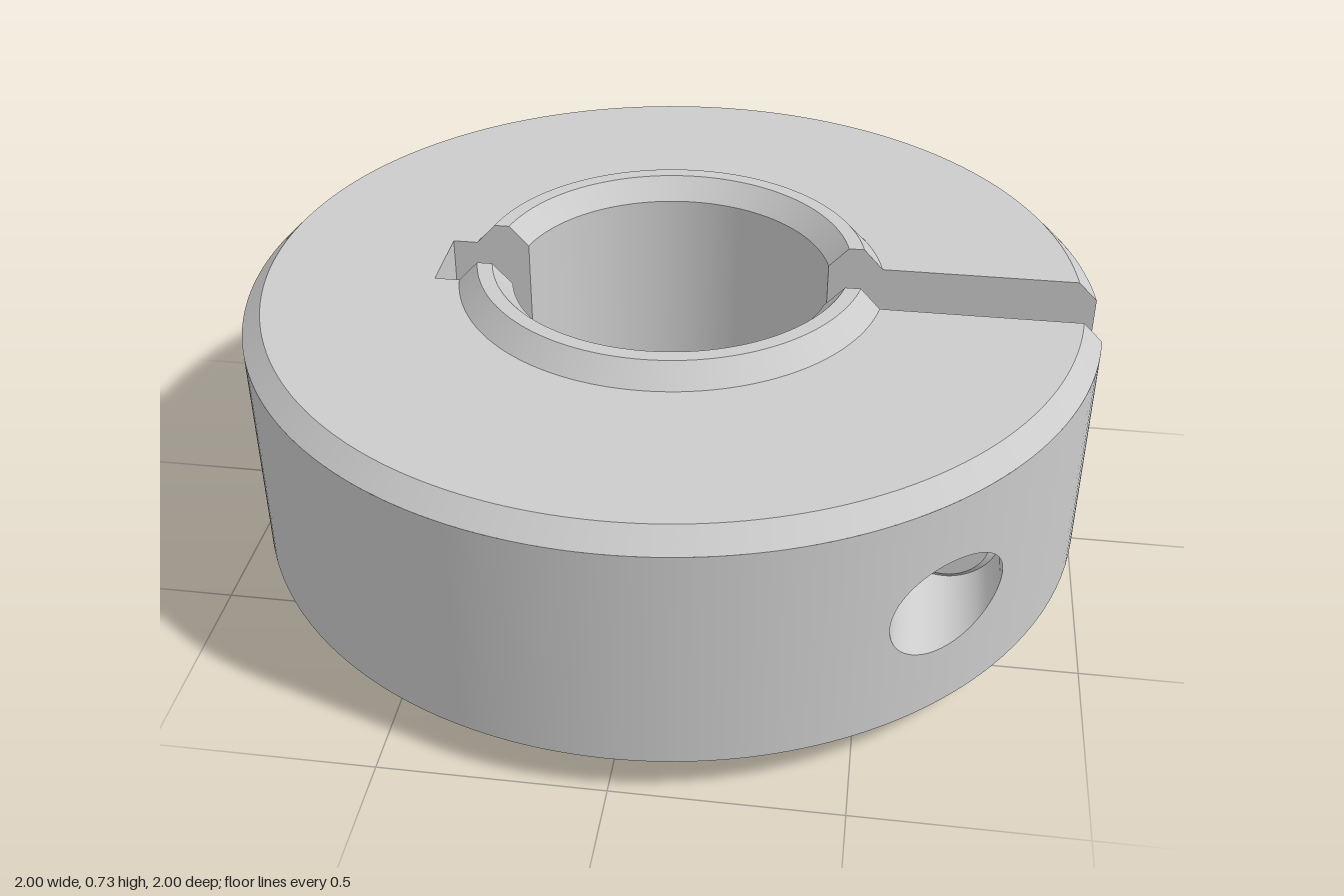
import * as THREE from 'three';
import { mergeGeometries } from 'three/addons/utils/BufferGeometryUtils.js';

const S = 0.092;                 // half width of the slot
const SLOT_END = -0.55;          // closed end of the slot
const LOW = 0.05, HIGH = 0.68;   // flat faces of the ring
const CX = 0.675, CY = 0.365;    // screw axis, running along z
const BORE_R = 0.26, FLOOR_Z = -0.354;   // counterbore for the screw head
const HOLE_R = 0.115, TIP_Z = 0.5;       // tapped hole at the front
const { PI, cos, sin, acos, asin, sqrt } = Math;
const lerp = THREE.MathUtils.lerp;
const slotAngle = r => asin(S / r);

// Surface from a rule f(u, v); it faces along du x dv.
function grid(nu, nv, f) {
  const pos = [], index = [];
  for (let j = 0; j <= nv; j++)
    for (let i = 0; i <= nu; i++) pos.push(...f(i / nu, j / nv));
  for (let j = 0; j < nv; j++)
    for (let i = 0; i < nu; i++) {
      const a = j * (nu + 1) + i, d = a + nu + 1;
      index.push(a, a + 1, d, a + 1, d + 1, d);
    }
  const g = new THREE.BufferGeometry();
  g.setAttribute('position', new THREE.Float32BufferAttribute(pos, 3));
  g.setIndex(index);
  g.computeVertexNormals();
  return g;
}

// Band between two profile points, swept between angles that depend on the radius.
function band([r0, y0], [r1, y1], from, to, steps) {
  return grid(1, steps, (u, v) => {
    const r = lerp(r0, r1, u), t = lerp(from(r), to(r), v);
    return [r * cos(t), lerp(y0, y1, u), r * sin(t)];
  });
}

// Radial normals for pieces of the outer wall.
function radial(g) {
  const p = g.attributes.position, n = g.attributes.normal;
  for (let i = 0; i < p.count; i++) n.setXYZ(i, p.getX(i), 0, p.getZ(i));
  return g;
}

const flat = pts => new THREE.ShapeGeometry(new THREE.Shape(pts.map(p => new THREE.Vector2(...p))));

// Ring body: cross-section swept around, cut by the slot and the two screw holes.
function bodyGeometry() {
  const hub = [[0.5, HIGH], [0.455, 0.73], [0.42, 0.73], [0.375, HIGH],
    [0.375, LOW], [0.42, 0], [0.455, 0], [0.5, LOW]];
  const rim = [[0.955, LOW], [1, 0.095], [1, 0.635], [0.955, HIGH]];
  const parts = [];

  // Hub and bore, in two halves
  for (let i = 0; i < hub.length - 1; i++)
    for (const side of [0, PI])
      parts.push(band(hub[i], hub[i + 1], r => side + slotAngle(r), r => side + PI - slotAngle(r), 64));

  // Rim chamfers
  for (const i of [0, 2])
    parts.push(band(rim[i], rim[i + 1], slotAngle, r => 2 * PI - slotAngle(r), 180));

  // Outer wall: plain stretches, then the strips above and below each hole
  const a = slotAngle(1);
  const plain = [[a, acos(CX + HOLE_R), 12], [acos(CX - HOLE_R), 2 * PI - acos(CX - BORE_R), 140],
    [2 * PI - acos(CX + BORE_R), 2 * PI - a, 8]];
  for (const [from, to, n] of plain)
    parts.push(radial(band(rim[1], rim[2], () => from, () => to, n)));
  for (const [r, side] of [[HOLE_R, 1], [BORE_R, -1]])
    for (const upper of [false, true])
      parts.push(radial(grid(1, 40, (u, v) => {
        const f = side > 0 ? v * PI : (1 - v) * PI;
        const x = CX + r * cos(f), h = r * sin(f);
        const y = upper ? lerp(CY + h, rim[2][1], u) : lerp(rim[1][1], CY - h, u);
        return [x, y, side * sqrt(1 - x * x)];
      })));

  // Hole walls, meeting the round outside
  const holeWall = (r, zAt) => grid(80, 1, (u, v) => {
    const x = CX + r * cos(u * 2 * PI);
    return [x, CY + r * sin(u * 2 * PI), zAt(sqrt(1 - x * x), v)];
  });
  parts.push(holeWall(HOLE_R, (z, v) => lerp(z, TIP_Z, v)));
  parts.push(holeWall(BORE_R, (z, v) => lerp(FLOOR_Z, -z, v)));
  parts.push(new THREE.RingGeometry(0.1, BORE_R, 80).rotateY(PI).translate(CX, CY, FLOOR_Z));

  // Flat top and bottom faces
  const outline = [];
  const arc = (r, from, to, n) => {
    for (let i = 0; i <= n; i++) {
      const t = lerp(from, to, i / n);
      outline.push([r * cos(t), r * sin(t)]);
    }
  };
  const o = slotAngle(0.955), h = slotAngle(0.5);
  arc(0.955, o, 2 * PI - o, 180);
  arc(0.5, 2 * PI - h, PI + h, 64);
  outline.push([SLOT_END, -S], [SLOT_END, S]);
  arc(0.5, PI - h, h, 64);
  parts.push(flat(outline).rotateX(-PI / 2).translate(0, HIGH, 0));
  parts.push(flat(outline).rotateX(PI / 2).translate(0, LOW, 0));

  // Slot walls on both sides and the closed end
  const cut = ([r, y]) => [sqrt(r * r - S * S), y];
  const openSide = [...hub, ...rim].map(cut);
  const closedSide = [...hub.map(cut).map(([x, y]) => [-x, y]), [SLOT_END, LOW], [SLOT_END, HIGH]];
  for (const pts of [openSide, closedSide]) {
    parts.push(flat(pts).translate(0, 0, -S));
    parts.push(flat(pts.map(([x, y]) => [-x, y])).rotateY(PI).translate(0, 0, S));
  }
  parts.push(new THREE.PlaneGeometry(2 * S, HIGH - LOW).rotateY(PI / 2)
    .translate(SLOT_END, (LOW + HIGH) / 2, 0));

  parts.forEach(g => g.deleteAttribute('uv'));
  return mergeGeometries(parts);
}

// Socket-head clamp screw, built around the z axis with its head toward -z.
function createScrew(material, facetMaterial) {
  const screw = new THREE.Group();
  screw.name = 'clampScrew';
  const add = (name, geometry, mat = material) => {
    const mesh = new THREE.Mesh(geometry, mat);
    mesh.name = name;
    screw.add(mesh);
  };
  // Round section from z0 to z1
  const turned = (r0, z0, r1, z1, open) =>
    new THREE.CylinderGeometry(r1, r0, z1 - z0, 64, 1, open).rotateX(PI / 2).translate(0, 0, (z0 + z1) / 2);

  // Head: plain collar, knurled grip, chamfer and face with a hexagon socket
  add('headCollar', turned(0.245, -0.41, 0.245, FLOOR_Z, false));
  const ridges = 80;
  add('headKnurl', grid(ridges * 2, 1, (u, v) => {
    const i = Math.round(u * ridges * 2), r = i % 2 ? 0.241 : 0.25, t = i * PI / ridges;
    return [r * cos(t), r * sin(t), lerp(-0.62, -0.405, v)];
  }), facetMaterial);
  add('headChamfer', turned(0.232, -0.64, 0.248, -0.618, true));

  const face = new THREE.Shape().absarc(0, 0, 0.232, 0, 2 * PI);
  const hex = [];
  for (let i = 0; i < 6; i++)
    hex.push(new THREE.Vector2(0.125 * sin(i * PI / 3), 0.125 * cos(i * PI / 3)));
  face.holes.push(new THREE.Path(hex));
  add('headFace', new THREE.ExtrudeGeometry(face, { depth: 0.13, bevelEnabled: false, curveSegments: 64 })
    .translate(0, 0, -0.64));
  add('socketFloor', new THREE.CircleGeometry(0.14, 24).rotateY(PI).translate(0, 0, -0.512));

  // Helical thread: rows alternate between root and crest
  const pitch = 0.046, rows = 32;
  add('thread', grid(48, rows, (u, v) => {
    const j = Math.round(v * rows), r = j % 2 ? 0.138 : 0.106, t = u * 2 * PI;
    return [r * cos(t), r * sin(t), -0.345 + pitch * (j / 2 + u)];
  }), facetMaterial);
  add('shank', turned(0.1, FLOOR_Z, 0.1, TIP_Z, true));
  add('tip', turned(HOLE_R, TIP_Z, 0.09, TIP_Z + 0.025, false));

  screw.position.set(CX, CY, 0);
  return screw;
}

export function createModel() {
  const material = new THREE.MeshStandardMaterial({ color: 0xcccccc });
  const facetMaterial = new THREE.MeshStandardMaterial({ color: 0xcccccc, flatShading: true });
  const model = new THREE.Group();
  model.name = 'shaftCollar';
  const body = new THREE.Mesh(bodyGeometry(), material);
  body.name = 'collarBody';
  model.add(body, createScrew(material, facetMaterial));
  return model;
}
